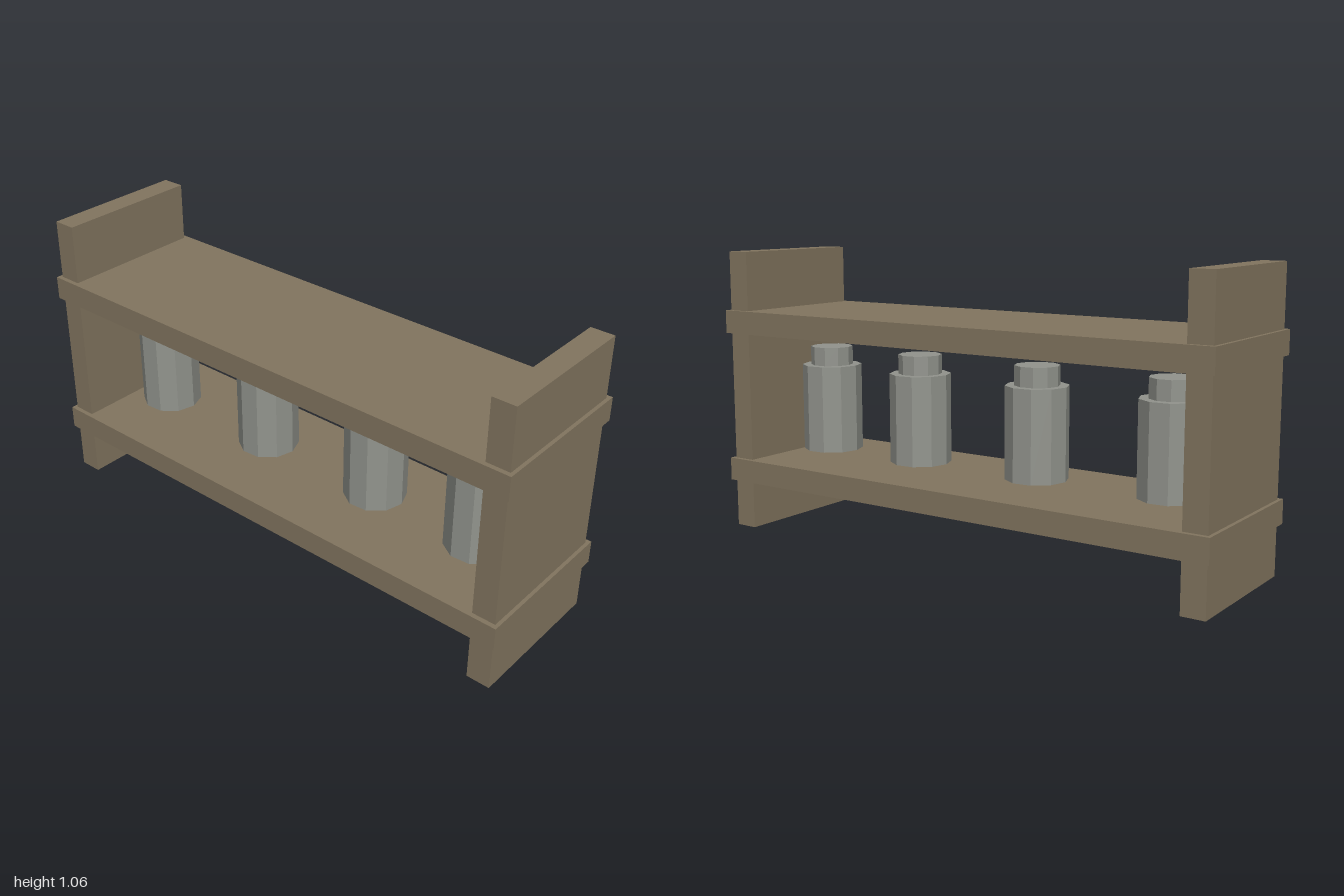
import * as THREE from 'three';

export function createModel() {
  const wood = new THREE.MeshStandardMaterial({ color: 0x82755f });
  wood.name = 'weathered wood';
  const metal = new THREE.MeshStandardMaterial({ color: 0x92948d, flatShading: true });
  metal.name = 'grey jar';

  const model = new THREE.Group();
  model.name = 'shelf with jars';

  const add = (parent, name, geometry, material, x, y, z) => {
    const mesh = new THREE.Mesh(geometry, material);
    mesh.name = name;
    mesh.position.set(x, y, z);
    parent.add(mesh);
    return mesh;
  };

  // Upright end boards
  const endBoard = new THREE.BoxGeometry(0.086, 1.056, 0.546);
  add(model, 'leftEndBoard', endBoard, wood, 0.944, 0.528, 0);
  add(model, 'rightEndBoard', endBoard, wood, -0.944, 0.528, 0);

  // Shelf planks, slightly larger than the end boards they pass through
  const plank = new THREE.BoxGeometry(2, 0.086, 0.58);
  add(model, 'lowerShelf', plank, wood, 0, 0.223, 0);
  add(model, 'upperShelf', plank, wood, 0, 0.792, 0);

  // Ten-sided jars with narrower lids, resting just above the lower shelf
  const body = new THREE.CylinderGeometry(0.113, 0.113, 0.33, 10);
  const lid = new THREE.CylinderGeometry(0.08, 0.08, 0.07, 10);
  [[-0.727, 0], [-0.217, -0.01], [0.291, -0.01], [0.729, 0]].forEach(([x, z]) => {
    const jar = new THREE.Group();
    jar.name = 'jar';
    jar.position.set(x, 0.29, z);
    jar.rotation.y = 0.38;
    add(jar, 'jarBody', body, metal, 0, 0.165, 0);
    add(jar, 'jarLid', lid, metal, 0, 0.365, 0);
    model.add(jar);
  });

  return model;
}
